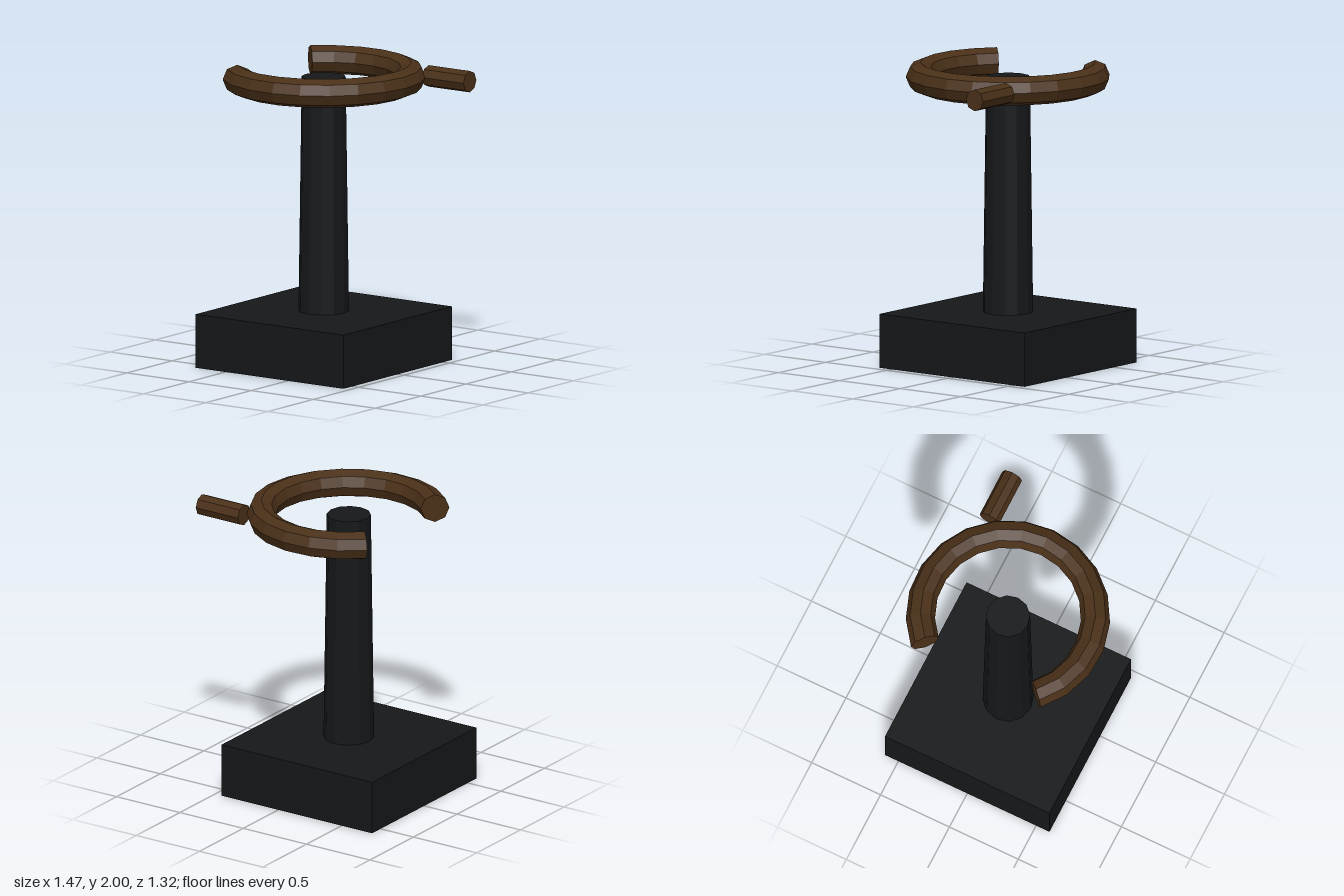
import * as THREE from 'three';
import { mergeGeometries } from 'three/addons/utils/BufferGeometryUtils.js';

const AXIS_X = -0.145; // shared axis of base, column and ring
const RING_Y = 1.905;

export function createModel() {
  const group = new THREE.Group();
  const dark = new THREE.MeshStandardMaterial({ color: 0x151719, flatShading: true });
  const wood = new THREE.MeshStandardMaterial({ color: 0x4a3018, flatShading: true });

  const add = (name, geometry, material, x, y, z) => {
    const mesh = new THREE.Mesh(geometry, material);
    mesh.name = name;
    mesh.position.set(x, y, z);
    group.add(mesh);
  };

  // Square base block
  add('base', new THREE.BoxGeometry(1.19, 0.355, 1.194), dark, AXIS_X, 0.1775, 0);

  // Tapered column, rising to the middle of the ring
  const columnHeight = RING_Y - 0.355;
  add('column', new THREE.CylinderGeometry(0.144, 0.165, columnHeight, 12), dark,
    AXIS_X, 0.355 + columnHeight / 2, 0);

  // Three-quarter ring, open towards -x, with flat caps on both ends
  const R = 0.57, r = 0.095, half = Math.PI * 0.75;
  const arc = new THREE.TorusGeometry(R, r, 8, 16, half * 2).rotateZ(-half);
  const caps = [-1, 1].map((side) => new THREE.CircleGeometry(r, 8)
    .rotateX(-side * Math.PI / 2)
    .translate(R, 0, 0)
    .rotateZ(side * half));
  add('openRing', mergeGeometries([arc, ...caps]).rotateX(Math.PI / 2), wood, AXIS_X, RING_Y, 0);

  // Short peg beside the ring
  add('handle', new THREE.CylinderGeometry(0.071, 0.071, 0.333, 8).rotateZ(Math.PI / 2), wood,
    0.568, 1.908, -0.407);

  return group;
}
